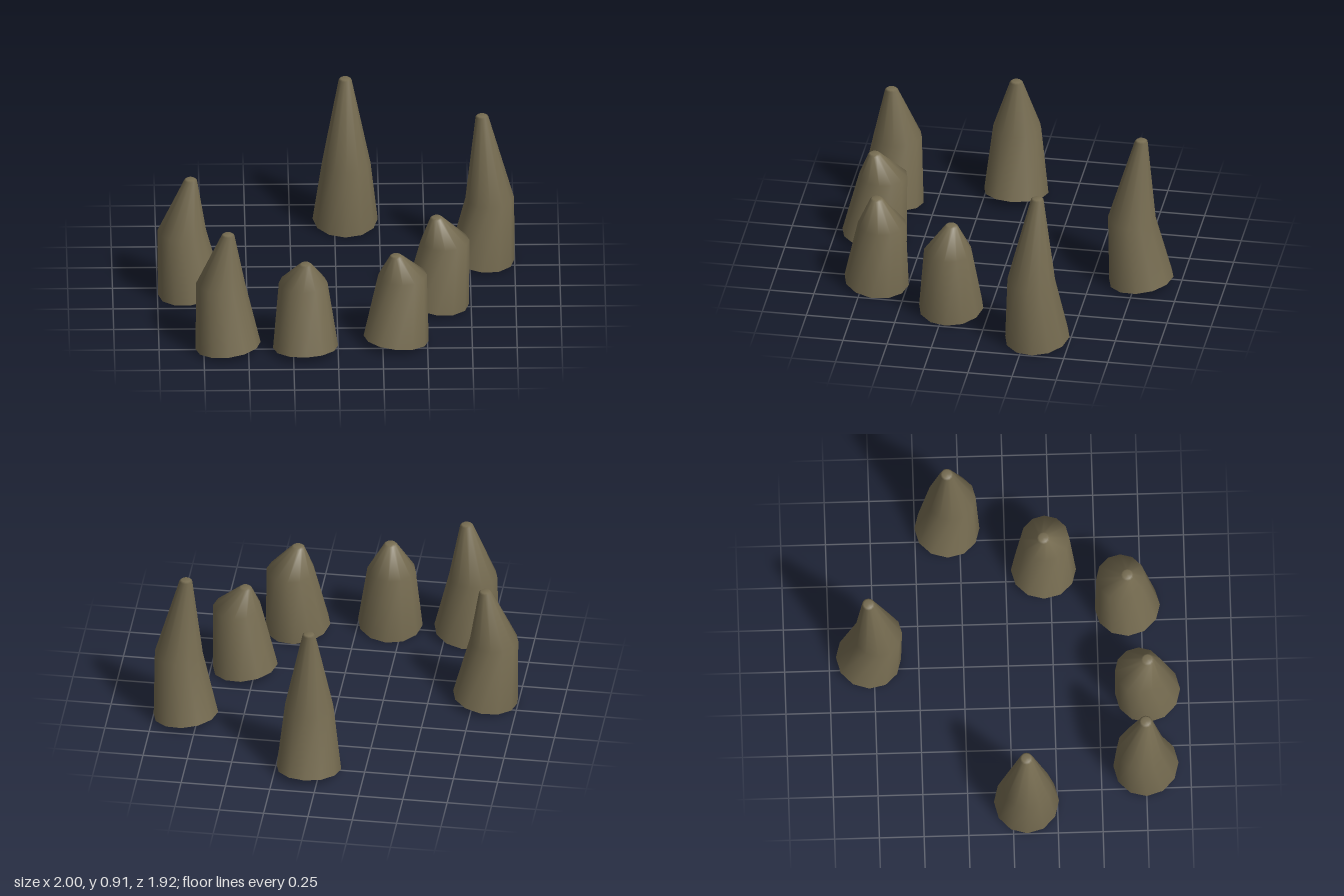
import * as THREE from 'three';

const SIDES = 12;

// One closed skin through a list of rings { x, y, z, r, tilt(dx, dz) }
function skin(rings, capTop) {
  const pos = [], index = [];
  for (const ring of rings) {
    for (let i = 0; i < SIDES; i++) {
      const a = (i / SIDES) * Math.PI * 2;
      const dx = Math.cos(a) * ring.r, dz = Math.sin(a) * ring.r;
      pos.push(ring.x + dx, ring.y + (ring.tilt ? ring.tilt(dx, dz) : 0), ring.z + dz);
    }
  }
  for (let k = 0; k < rings.length - 1; k++) {
    for (let i = 0; i < SIDES; i++) {
      const j = (i + 1) % SIDES;
      const a = k * SIDES + i, b = k * SIDES + j;
      index.push(a, a + SIDES, b, b, a + SIDES, b + SIDES);
    }
  }
  // Fan that closes the last ring (top) or the only ring (underside)
  const last = rings[rings.length - 1], start = (rings.length - 1) * SIDES;
  const centre = pos.length / 3;
  pos.push(last.x, last.y, last.z);
  for (let i = 0; i < SIDES; i++) {
    const a = start + i, b = start + ((i + 1) % SIDES);
    if (capTop) index.push(centre, b, a);
    else index.push(centre, a, b);
  }
  const g = new THREE.BufferGeometry();
  g.setAttribute('position', new THREE.Float32BufferAttribute(pos, 3));
  g.setIndex(index);
  g.computeVertexNormals();
  return g;
}

// A leaning stone: tilted foot, shifted shoulder, tip back over the foot
function makeStone({ x, z, lean, h }, material) {
  const [lx, lz] = lean;
  const len = Math.hypot(lx, lz);
  const tilt = (dx, dz) => -0.14 * (dx * lx + dz * lz) / len;
  const foot = { x, y: 0.025, z, r: 0.182, tilt };
  const shoulder = { x: x + lx, y: 0.405, z: z + lz, r: 0.136 };
  const tip = [
    { x, y: h - 0.008, z, r: 0.036 },
    { x, y: h, z, r: 0.026 },
  ];
  const stone = new THREE.Group();
  const body = new THREE.Mesh(skin([foot, shoulder, ...tip], true), material);
  body.name = 'stoneBody';
  const underside = new THREE.Mesh(skin([foot], false), material);
  underside.name = 'stoneUnderside';
  stone.add(body, underside);
  return stone;
}

export function createModel() {
  const model = new THREE.Group();
  model.name = 'stoneCircle';
  const rock = new THREE.MeshStandardMaterial({ color: 0x766c51 });
  rock.name = 'rock';

  // Positions, lean of the shoulder and height of each stone
  const stones = [
    { x: 0.06, z: -0.78, lean: [0.005, 0.052], h: 0.908 },
    { x: 0.818, z: -0.32, lean: [0.043, 0.026], h: 0.908 },
    { x: 0.557, z: 0.212, lean: [0.047, 0.01], h: 0.547 },
    { x: 0.325, z: 0.674, lean: [0.036, -0.036], h: 0.547 },
    { x: -0.182, z: 0.772, lean: [-0.013, -0.047], h: 0.547 },
    { x: -0.615, z: 0.75, lean: [-0.041, -0.029], h: 0.725 },
    { x: -0.815, z: 0.077, lean: [-0.049, 0.003], h: 0.725 },
  ];
  stones.forEach((s, i) => {
    const stone = makeStone(s, rock);
    stone.name = `standingStone${i + 1}`;
    model.add(stone);
  });
  return model;
}
